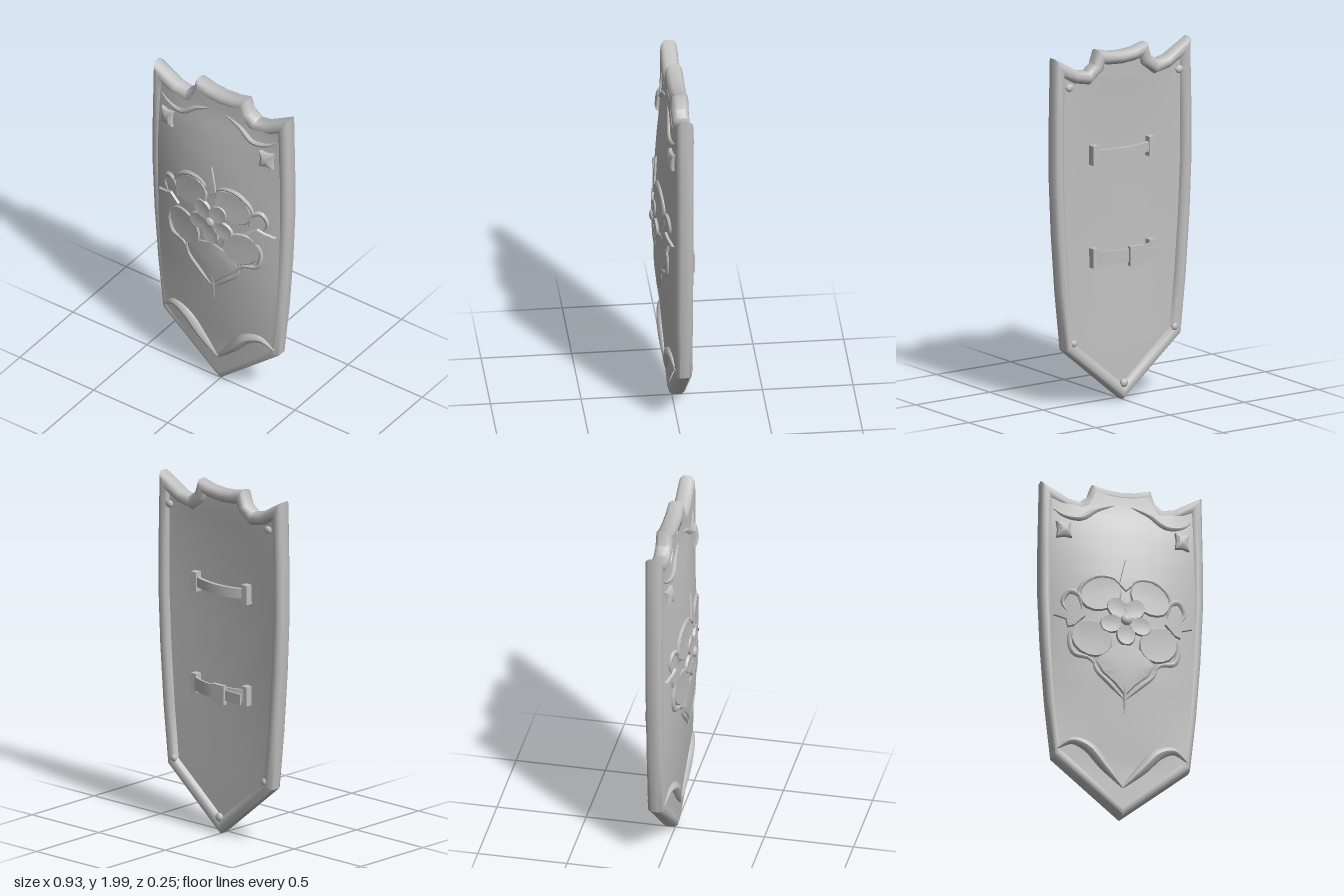
import * as THREE from 'three';
import { toCreasedNormals } from 'three/addons/utils/BufferGeometryUtils.js';

// piecewise linear lookup
const lookup = (table, v) => {
  for (let i = 1; i < table.length; i++) {
    const [a, fa] = table[i - 1], [b, fb] = table[i];
    if (v <= b) return fa + (fb - fa) * Math.max(0, (v - a) / (b - a));
  }
  return table[table.length - 1][1];
};

// right half of the outline, from top centre down to the tip
const HALF = [[0, 1.97], [0.08, 1.976], [0.165, 1.998], [0.19, 1.922], [0.235, 1.887], [0.3, 1.9],
  [0.455, 1.988], [0.463, 1.6], [0.463, 1.3], [0.45, 1.0], [0.425, 0.66], [0.39, 0.33], [0, 0.005]];
const WIDTH = [[0.33, 0.39], [0.66, 0.425], [1.0, 0.45], [1.3, 0.463], [1.6, 0.463], [1.99, 0.455]];
const TOP = HALF.slice(0, 7).map(([x, y]) => [x / 0.455, y]);
const BULGE = [[0, 0.15], [0.3, 0.33], [0.45, 0.5], [0.6, 0.65], [0.8, 0.84], [1.0, 0.95], [1.25, 1],
  [1.4, 0.94], [1.55, 0.8], [1.7, 0.58], [1.85, 0.25], [2, 0.12]];

// height of the domed front and of the shallow hollow back
const frontZ = (x, y) => 0.008 + 0.088 * lookup(BULGE, y) * Math.max(0, 1 - (x / 0.44) ** 2);
const backZ = (x, y) => -0.05 + 0.3 * (frontZ(x, y) - 0.008);

function buildGeometry(positions, index) {
  const g = new THREE.BufferGeometry();
  g.setAttribute('position', new THREE.Float32BufferAttribute(positions, 3));
  g.setIndex(index);
  g.computeVertexNormals();
  return g;
}

// curved panel fitted inside the rim
function panelGeometry(zAt, flip) {
  const pos = [], idx = [], C = 40, R = 40;
  for (let r = 0; r <= R; r++) for (let c = 0; c <= C; c++) {
    const u = (c / C) * 2 - 1, a = Math.abs(u);
    const low = 0.05 + 0.32 * a, high = lookup(TOP, a) - 0.045;
    const y = low + (high - low) * (r / R);
    const x = u * (lookup(WIDTH, y) - 0.035);
    pos.push(x, y, zAt(x, y));
    if (r < R && c < C) {
      const i = r * (C + 1) + c, j = i + C + 1;
      if (flip) idx.push(i, j, i + 1, i + 1, j, j + 1);
      else idx.push(i, i + 1, j, i + 1, j + 1, j);
    }
  }
  return buildGeometry(pos, idx);
}

// rounded section swept around the outline with mitred corners
function rimGeometry() {
  const left = HALF.slice(1, -1).map(([x, y]) => [-x, y]).reverse();
  const path = [...HALF, ...left].map(p => new THREE.Vector2(...p));
  const section = [[0, -0.055], [0, -0.005], [0.012, 0.014], [0.035, 0.022], [0.056, 0.016], [0.07, -0.005],
    [0.07, -0.045], [0.056, -0.068], [0.035, -0.076], [0.012, -0.071]];
  const pos = [], idx = [], n = path.length, m = section.length;
  path.forEach((p, i) => {
    const a = p.clone().sub(path[(i + n - 1) % n]).normalize();
    const b = path[(i + 1) % n].clone().sub(p).normalize();
    const n1 = new THREE.Vector2(a.y, -a.x), n2 = new THREE.Vector2(b.y, -b.x);
    const inward = n1.clone().add(n2).divideScalar(1 + n1.dot(n2));
    section.forEach(([d, z], k) => {
      pos.push(p.x + inward.x * d, p.y + inward.y * d, z);
      const A = i * m + k, B = i * m + (k + 1) % m;
      const D = ((i + 1) % n) * m + k, E = ((i + 1) % n) * m + (k + 1) % m;
      idx.push(A, B, D, B, E, D);
    });
  });
  return toCreasedNormals(buildGeometry(pos, idx), 0.75);
}

// raised, bevelled plate that follows the dome
function reliefGeometry(points, height, crown = 0.5) {
  const pts = points.map(p => new THREE.Vector2(...p));
  if (THREE.ShapeUtils.isClockWise(pts)) pts.reverse();
  const c = pts.reduce((s, p) => s.add(p), new THREE.Vector2()).divideScalar(pts.length);
  const rings = [[1, -0.006], [0.88, height], [0.45, height * (0.5 + crown)]];
  const pos = [], idx = [], n = pts.length;
  for (const [s, h] of rings) for (const p of pts) {
    const x = c.x + (p.x - c.x) * s, y = c.y + (p.y - c.y) * s;
    pos.push(x, y, frontZ(x, y) + h);
  }
  pos.push(c.x, c.y, frontZ(c.x, c.y) + height * (0.5 + crown));
  for (let i = 0; i < n; i++) {
    const j = (i + 1) % n;
    for (let r = 0; r < 2; r++) {
      const A = r * n + i, B = r * n + j;
      idx.push(A, B, B + n, A, B + n, A + n);
    }
    idx.push(2 * n + i, 2 * n + j, 3 * n);
  }
  return toCreasedNormals(buildGeometry(pos, idx), 0.6);
}

const oval = (cx, cy, rx, ry, turn = 0, n = 16) => Array.from({ length: n }, (_, i) => {
  const t = (i / n) * Math.PI * 2, a = rx * Math.cos(t), b = ry * Math.sin(t);
  return [cx + a * Math.cos(turn) - b * Math.sin(turn), cy + a * Math.sin(turn) + b * Math.cos(turn)];
});

// half-sunk tapering bead along the dome
function ridgeGeometry(points, radius) {
  const curve = new THREE.CatmullRomCurve3(points.map(([x, y]) => new THREE.Vector3(x, y, frontZ(x, y))));
  const g = new THREE.TubeGeometry(curve, 24, radius, 8), p = g.attributes.position;
  for (let i = 0; i < p.count; i++) {
    const t = Math.floor(i / 9) / 24, c = curve.getPointAt(t), s = 0.15 + 0.85 * Math.sin(Math.PI * t);
    const v = new THREE.Vector3().fromBufferAttribute(p, i).sub(c).multiplyScalar(s);
    p.setXYZ(i, c.x + v.x, c.y + v.y, c.z + v.z * 0.8);
  }
  g.computeVertexNormals();
  return g;
}

// arched band behind the panel; depths are measured backwards
function bandGeometry(span, endDepth, midDepth, thick, width) {
  const s = new THREE.Shape(), N = 14;
  const at = (t, o) => [span * t, endDepth + (midDepth - endDepth) * (1 - t * t) - o];
  for (let i = 0; i <= N; i++) s[i ? 'lineTo' : 'moveTo'](...at(i / N * 2 - 1, thick));
  for (let i = N; i >= 0; i--) s.lineTo(...at(i / N * 2 - 1, 0));
  const g = new THREE.ExtrudeGeometry(s, { depth: width, bevelEnabled: false });
  g.translate(0, 0, -width / 2).rotateX(-Math.PI / 2);
  return toCreasedNormals(g, 0.6);
}

export function createModel() {
  const model = new THREE.Group();
  model.name = 'shield';
  const steel = new THREE.MeshStandardMaterial({ color: 0xc0c0c0 });
  steel.name = 'grey steel';
  const add = (name, geometry, x = 0, y = 0, z = 0) => {
    const m = new THREE.Mesh(geometry, steel);
    m.name = name;
    m.position.set(x, y, z);
    model.add(m);
    return m;
  };

  // body
  add('frontPanel', panelGeometry(frontZ, false));
  add('backPanel', panelGeometry(backZ, true));
  add('rim', rimGeometry());

  // flower emblem: mirrored outer petals and leaves
  for (const s of [-1, 1]) {
    const flip = pts => pts.map(([x, y]) => [x * s, y]);
    add('upperPetal', reliefGeometry(flip(oval(0.14, 1.3, 0.13, 0.105, -0.5)), 0.009, 0.1));
    add('lowerPetal', reliefGeometry(flip(oval(0.19, 1.03, 0.13, 0.11, 0.7)), 0.009, 0.1));
    add('sideLeaf', reliefGeometry(flip([[0.22, 1.16], [0.28, 1.1], [0.32, 1.09], [0.33, 1.14], [0.4, 1.17],
      [0.33, 1.19], [0.29, 1.21]]), 0.014));
    add('sideCurl', ridgeGeometry(flip([[0.24, 1.2], [0.26, 1.29], [0.31, 1.31], [0.345, 1.25], [0.32, 1.19]]), 0.017));
    add('petalEdge', ridgeGeometry(flip([[0.01, 1.34], [0.07, 1.4], [0.17, 1.4], [0.255, 1.32], [0.24, 1.21]]), 0.016));
    add('petalEdge', ridgeGeometry(flip([[0.24, 1.14], [0.305, 1.05], [0.285, 0.94], [0.2, 0.91], [0.15, 0.84]]), 0.016));
    add('leafEdge', ridgeGeometry(flip([[0.18, 0.93], [0.165, 0.85], [0.09, 0.77], [0, 0.68]]), 0.014));

    // corner studs and flourishes
    const star = Array.from({ length: 8 }, (_, i) => {
      const t = i * Math.PI / 4 + Math.PI / 4, r = i % 2 ? 0.045 : 0.075;
      return [s * (0.335 + r * Math.cos(t) * 0.85), 1.69 + r * Math.sin(t)];
    });
    add('cornerStud', reliefGeometry(star, 0.016, 1.2));
    add('topFlourish', ridgeGeometry(flip([[0.39, 1.82], [0.33, 1.78], [0.24, 1.77], [0.15, 1.83], [0.05, 1.87]]), 0.018));
    add('bottomFlourish', ridgeGeometry(flip([[0.37, 0.37], [0.29, 0.42], [0.2, 0.39], [0.1, 0.28], [0, 0.17]]), 0.034));
    add('rimStud', new THREE.SphereGeometry(0.022, 12, 8).scale(1.2, 1, 0.6), s * 0.37, 1.82, -0.072);
    add('rimStud', new THREE.SphereGeometry(0.02, 12, 8).scale(1, 1, 0.6), s * 0.34, 0.37, -0.07);
  }
  add('bottomLeaf', reliefGeometry([[0, 1.02], [-0.13, 0.98], [-0.18, 0.9], [-0.14, 0.83], [-0.06, 0.76], [0, 0.69],
    [0.06, 0.76], [0.14, 0.83], [0.18, 0.9], [0.13, 0.98]], 0.007, 0.8));
  add('topSpike', reliefGeometry([[-0.04, 1.36], [0, 1.32], [0.04, 1.36], [0.025, 1.43], [0, 1.53], [-0.025, 1.43]], 0.01));
  add('centreLine', ridgeGeometry([[0, 0.92], [0, 0.8], [0, 0.6]], 0.012));

  // inner blossom
  for (let i = 0; i < 5; i++) {
    const t = Math.PI / 2 + (i + 0.5) * Math.PI * 0.4;
    add('innerPetal', reliefGeometry(oval(0.085 * Math.cos(t), 1.15 + 0.085 * Math.sin(t), 0.07, 0.058, t), 0.014, 0.2));
  }
  add('blossomCentre', new THREE.SphereGeometry(0.032, 16, 10).scale(1, 1, 0.6), 0, 1.15, 0.106);

  // upper grip and lower arm strap
  add('grip', bandGeometry(0.19, 0.055, 0.098, 0.022, 0.055), 0, 1.41, 0);
  add('armStrap', bandGeometry(0.2, 0.062, 0.115, 0.012, 0.075), 0, 0.83, 0);
  for (const y of [1.41, 0.83]) for (const s of [-1, 1]) {
    add('strapPad', new THREE.BoxGeometry(0.04, 0.11, 0.05), s * 0.19, y, -0.046);
  }
  add('buckle', new THREE.BoxGeometry(0.09, 0.11, 0.022), -0.045, 0.825, -0.117);
  const tail = add('strapEnd', new THREE.BoxGeometry(0.14, 0.06, 0.01), -0.14, 0.825, -0.115);
  tail.rotation.y = -0.08;
  add('tipStud', new THREE.SphereGeometry(0.025, 12, 8).scale(1, 1, 0.7), 0, 0.1, -0.066);
  return model;
}
